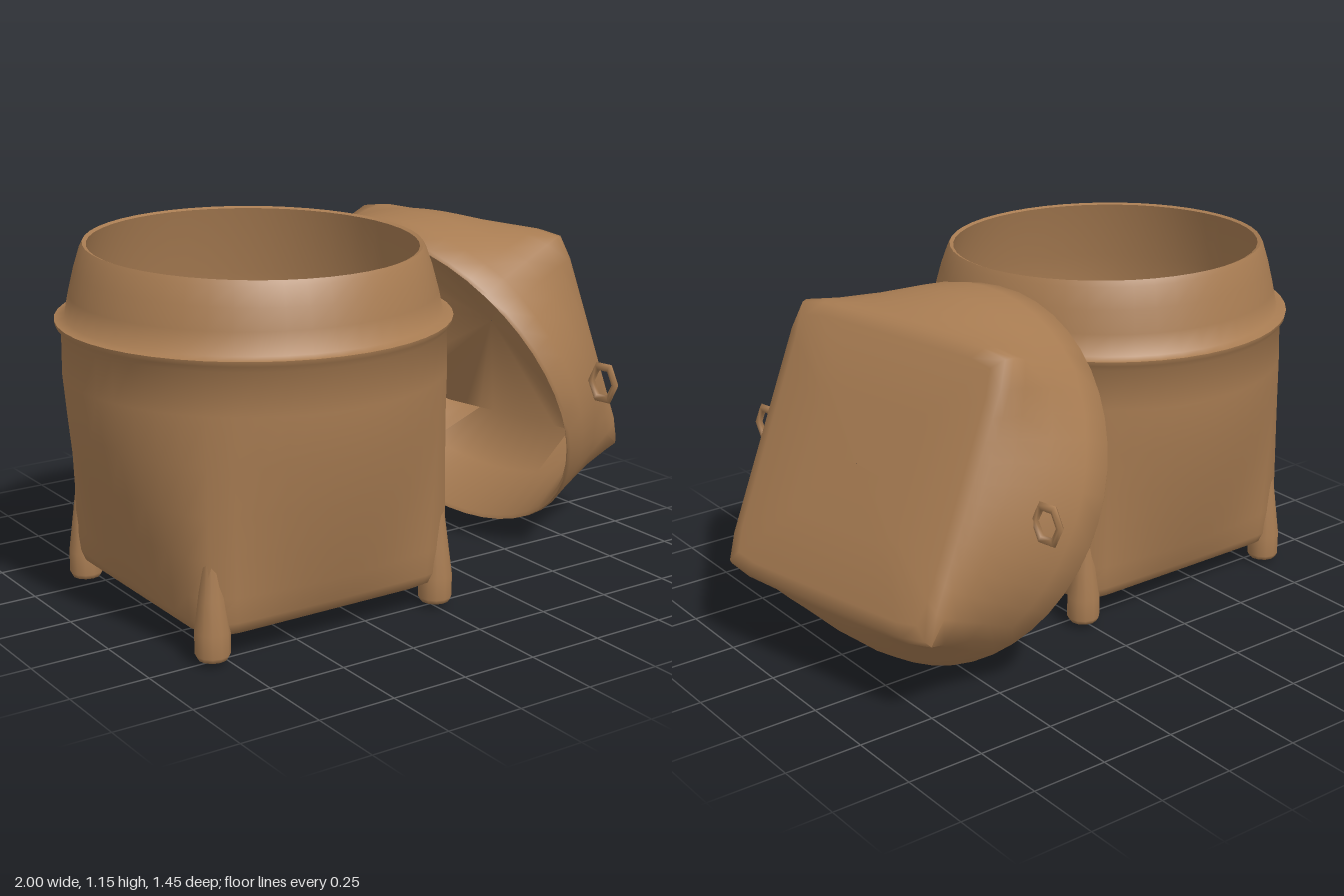
import * as THREE from 'three';
import { mergeVertices, toCreasedNormals } from 'three/addons/utils/BufferGeometryUtils.js';

const SIDES = 48;

// Radius of a soft-cornered square with half width h at an angle
function squareRadius(h, a) {
  const p = 20;
  return h / Math.pow(Math.abs(Math.cos(a)) ** p + Math.abs(Math.sin(a)) ** p, 1 / p);
}

// Skin rows of [y, square half width, circle radius, roundness, x shift, z slope]
function loft(rows) {
  const pos = [], index = [];
  for (const [y, h, r, k, shift = 0, slope = 0] of rows) {
    for (let j = 0; j < SIDES; j++) {
      const a = (j / SIDES) * Math.PI * 2;
      const q = squareRadius(h, a) * (1 - k) + r * k;
      const z = q * Math.sin(a);
      pos.push(q * Math.cos(a) + shift, y - z * slope, z);
    }
  }
  for (let i = 0; i < rows.length - 1; i++) {
    for (let j = 0; j < SIDES; j++) {
      const n = (j + 1) % SIDES;
      const a = i * SIDES + j, b = i * SIDES + n;
      index.push(a, a + SIDES, b, b, a + SIDES, b + SIDES);
    }
  }
  const g = new THREE.BufferGeometry();
  g.setAttribute('position', new THREE.Float32BufferAttribute(pos, 3));
  g.setIndex(index);
  return toCreasedNormals(mergeVertices(g, 1e-5), 1.2);
}

export function createModel() {
  const model = new THREE.Group();
  const wicker = new THREE.MeshStandardMaterial({ color: 0xa87c52 });
  const add = (parent, name, geometry, x = 0, y = 0, z = 0) => {
    const mesh = new THREE.Mesh(geometry, wicker);
    mesh.name = name;
    mesh.position.set(x, y, z);
    parent.add(mesh);
    return mesh;
  };

  // Basket: square at the floor, round at the rim
  const basket = new THREE.Group();
  basket.name = 'basket';
  basket.position.set(-0.393, 0, 0.108);
  model.add(basket);
  const H = 0.44, R = 0.592, HI = 0.418, RI = 0.572;
  add(basket, 'basketBody', loft([
    [0.045, 0.001, R, 0],
    [0.052, 0.25, R, 0],
    [0.07, 0.4, R, 0],
    [0.09, 0.432, R, 0],
    [0.12, H, R, 0.05],
    [0.2, H, R, 0.22],
    [0.32, H, R, 0.44],
    [0.45, H, R, 0.66],
    [0.6, H, R, 0.86],
    [0.75, H, R, 0.98],
    [0.88, H, 0.588, 1],
    // flange
    [0.9, H, 0.605, 1],
    [0.915, H, 0.608, 1],
    [0.922, H, 0.577, 1],
    // neck and rim
    [0.99, H, 0.563, 1],
    [1.06, H, 0.545, 1, 0, 0.012],
    [1.12, H, 0.525, 1, 0, 0.025],
    [1.137, H, 0.516, 1, 0, 0.028],
    [1.132, H, 0.504, 1, 0, 0.028],
    // inside
    [0.92, H, 0.555, 1],
    [0.75, HI, RI, 0.98],
    [0.6, HI, RI, 0.86],
    [0.45, HI, RI, 0.66],
    [0.32, HI, RI, 0.44],
    [0.2, HI, RI, 0.22],
    [0.12, 0.41, RI, 0],
    [0.085, 0.38, RI, 0],
    [0.065, 0.001, RI, 0],
  ]));

  // Feet at the corners, tapering into the walls
  const foot = new THREE.LatheGeometry([
    [0.001, 0.012], [0.045, 0.015], [0.053, 0.03], [0.053, 0.1], [0.04, 0.2], [0.022, 0.34], [0.001, 0.6],
  ].map(([r, y]) => new THREE.Vector2(r, y)), 12);
  for (const sx of [-1, 1]) {
    for (const sz of [-1, 1]) add(basket, 'foot', foot, sx * 0.402, 0, sz * 0.402);
  }

  // Lid leaning on the basket: round mouth, square top
  const lid = new THREE.Group();
  lid.name = 'lid';
  lid.position.set(0.36, 0.553, -0.055);
  lid.rotation.set(0, 0.21, -1.134, 'YXZ');
  model.add(lid);
  add(lid, 'lidShell', loft([
    [0.4, 0.001, 0.59, 0, 0.04],
    [0.38, 0.415, 0.57, 0, 0.04],
    [0.2, 0.425, 0.575, 0.7, 0.018],
    [0.01, 0.43, 0.59, 1, 0.01],
    [0, 0.44, 0.6, 1, 0.01],
    [0.01, 0.44, 0.606, 1, 0.01],
    [0.1, 0.445, 0.602, 0.93, 0.012],
    [0.22, 0.447, 0.594, 0.7, 0.02],
    [0.33, 0.447, 0.59, 0.33, 0.032],
    [0.385, 0.445, 0.59, 0.05, 0.04],
    [0.408, 0.433, 0.59, 0, 0.04],
    [0.418, 0.395, 0.59, 0, 0.04],
    [0.425, 0.2, 0.59, 0, 0.04],
    [0.428, 0.001, 0.59, 0, 0.04],
  ]));

  // Small carrying loops on the lid sides
  const ring = new THREE.TorusGeometry(0.048, 0.012, 5, 6);
  for (const [x, z] of [[0.455, -0.675], [0.69, 0.5]]) {
    const loop = add(model, 'lidLoop', ring, x, 0.61, z);
    loop.rotation.y = Math.PI / 2 + 0.2;
    loop.scale.y = 1.25;
  }
  return model;
}
